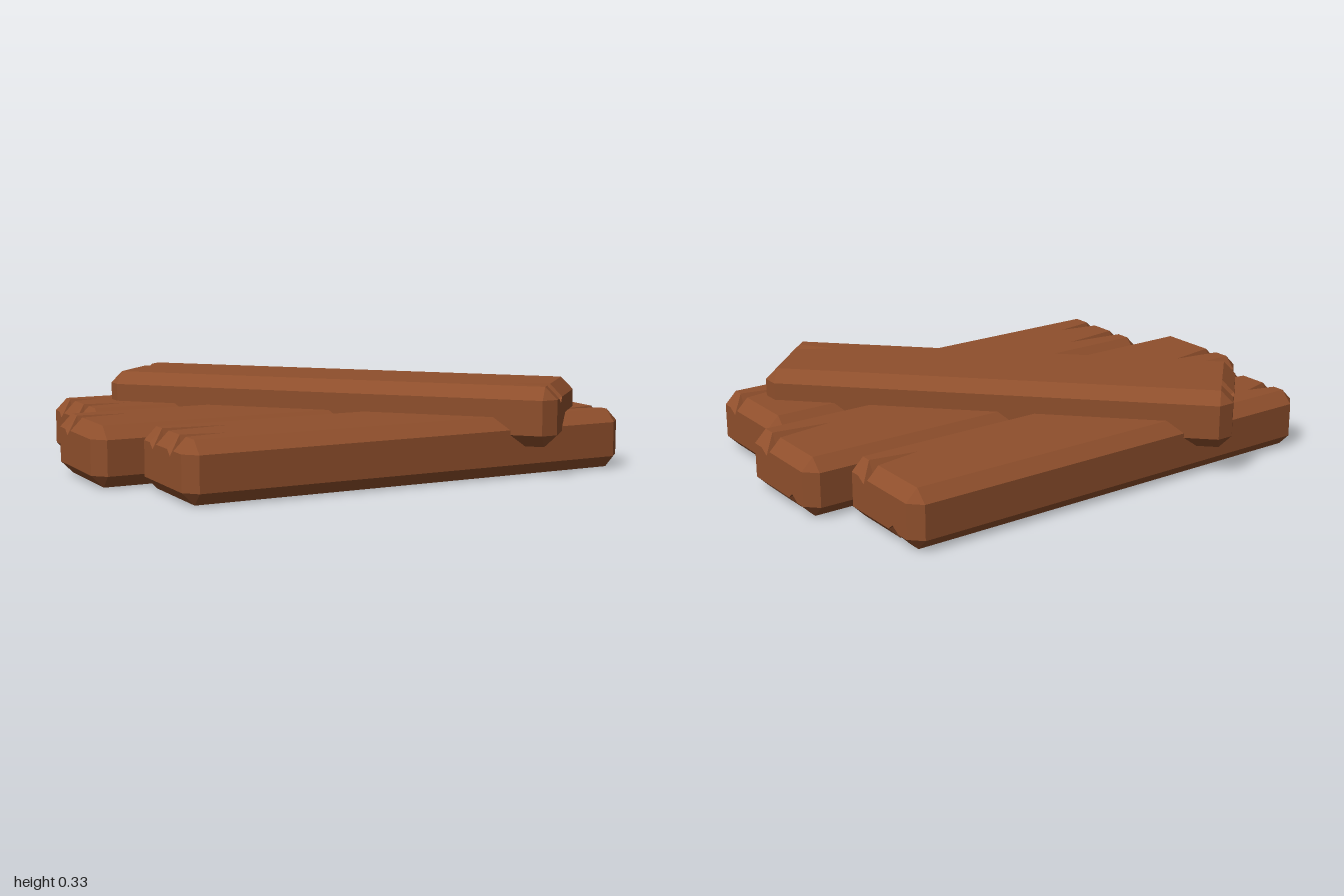
import * as THREE from 'three';

const W = 0.43, H = 0.217, C = 0.045; // plank width, thickness, bevel

// Bevelled plank along x. Each notch: end (-1/1), face (1 top, -1 bottom), z, len.
function plankGeometry(L, notches) {
  const half = L / 2;
  const cuts = notches.map((n) => n.end * (half - n.len));
  const xs = [-half, -half + C, ...cuts, half - C, half].sort((a, b) => a - b);

  // Points of the split on one face, tapering to nothing inside the plank
  const split = (n, x, inset) => {
    const dist = half - n.end * x;
    const t = Math.min(1, Math.max(0, 1 - (dist - C) / (n.len - C)));
    const w = 0.03 * t;
    const depth = t > 0 ? Math.max(inset, 0.066 * t) : inset;
    const y = (d) => (n.face > 0 ? H - d : d);
    const s = n.face; // top runs toward -z, bottom toward +z
    return [[n.z + s * w, y(inset)], [n.z - s * w * 0.2, y(depth)], [n.z - s * w, y(inset)]];
  };

  const section = (x) => {
    const e = half - Math.abs(x) < 1e-6 ? C : 0; // end faces are inset
    const side = W / 2 - e, flat = W / 2 - C;
    const row = (face) => notches.filter((n) => n.face === face)
      .sort((a, b) => face * (b.z - a.z)).flatMap((n) => split(n, x, e));
    return [
      [side, H - C], [flat, H - e], ...row(1), [-flat, H - e], [-side, H - C],
      [-side, C], [-flat, e], ...row(-1), [flat, e], [side, C],
    ];
  };

  const rings = xs.map(section);
  const n = rings[0].length;
  const pos = [];
  rings.forEach((r, i) => r.forEach(([z, y]) => pos.push(xs[i], y, z)));
  const index = [];
  for (let i = 0; i < rings.length - 1; i++) {
    for (let j = 0; j < n; j++) {
      const k = (j + 1) % n;
      const a = i * n + j, b = i * n + k, c = b + n, d = a + n;
      index.push(a, d, c, a, c, b);
    }
  }
  // End caps
  const cap = (i, flip) => {
    const pts = rings[i].map(([z, y]) => new THREE.Vector2(z, y));
    for (const [a, b, c] of THREE.ShapeUtils.triangulateShape(pts, [])) {
      const o = i * n;
      if (flip) index.push(o + a, o + c, o + b);
      else index.push(o + a, o + b, o + c);
    }
  };
  cap(0, false);
  cap(rings.length - 1, true);

  const indexed = new THREE.BufferGeometry();
  indexed.setAttribute('position', new THREE.Float32BufferAttribute(pos, 3));
  indexed.setIndex(index);
  const g = indexed.toNonIndexed();
  g.computeVertexNormals();
  return g;
}

export function createModel() {
  const group = new THREE.Group();
  const wood = new THREE.MeshStandardMaterial({ color: 0x8f4f2c, flatShading: true });
  wood.name = 'brown wood';

  const top = (end, z, len) => ({ end, face: 1, z, len });
  const bottom = (end, z, len) => ({ end, face: -1, z, len });

  const planks = [
    { name: 'backPlank', length: 1.74, at: [-0.01, 0, -0.436],
      notches: [top(-1, -0.095, 0.15), top(-1, 0.07, 0.2), top(1, 0.1, 0.22), bottom(1, -0.09, 0.2)] },
    { name: 'middlePlank', length: 2, at: [0, 0, 0],
      notches: [top(-1, -0.08, 0.23), top(1, 0.09, 0.26), bottom(1, -0.1, 0.22)] },
    { name: 'frontPlank', length: 1.74, at: [0.03, 0, 0.436],
      notches: [top(-1, -0.085, 0.28), top(-1, 0.075, 0.2), top(1, 0.1, 0.2), bottom(1, -0.09, 0.2)] },
    { name: 'diagonalPlank', length: 1.74, at: [0.048, 0.11, -0.004], turn: -Math.PI / 4,
      notches: [top(-1, -0.08, 0.2), top(1, 0.1, 0.19), bottom(1, -0.09, 0.2)] },
  ];

  for (const p of planks) {
    const mesh = new THREE.Mesh(plankGeometry(p.length, p.notches), wood);
    mesh.name = p.name;
    mesh.position.set(...p.at);
    mesh.rotation.y = p.turn || 0;
    group.add(mesh);
  }
  return group;
}
